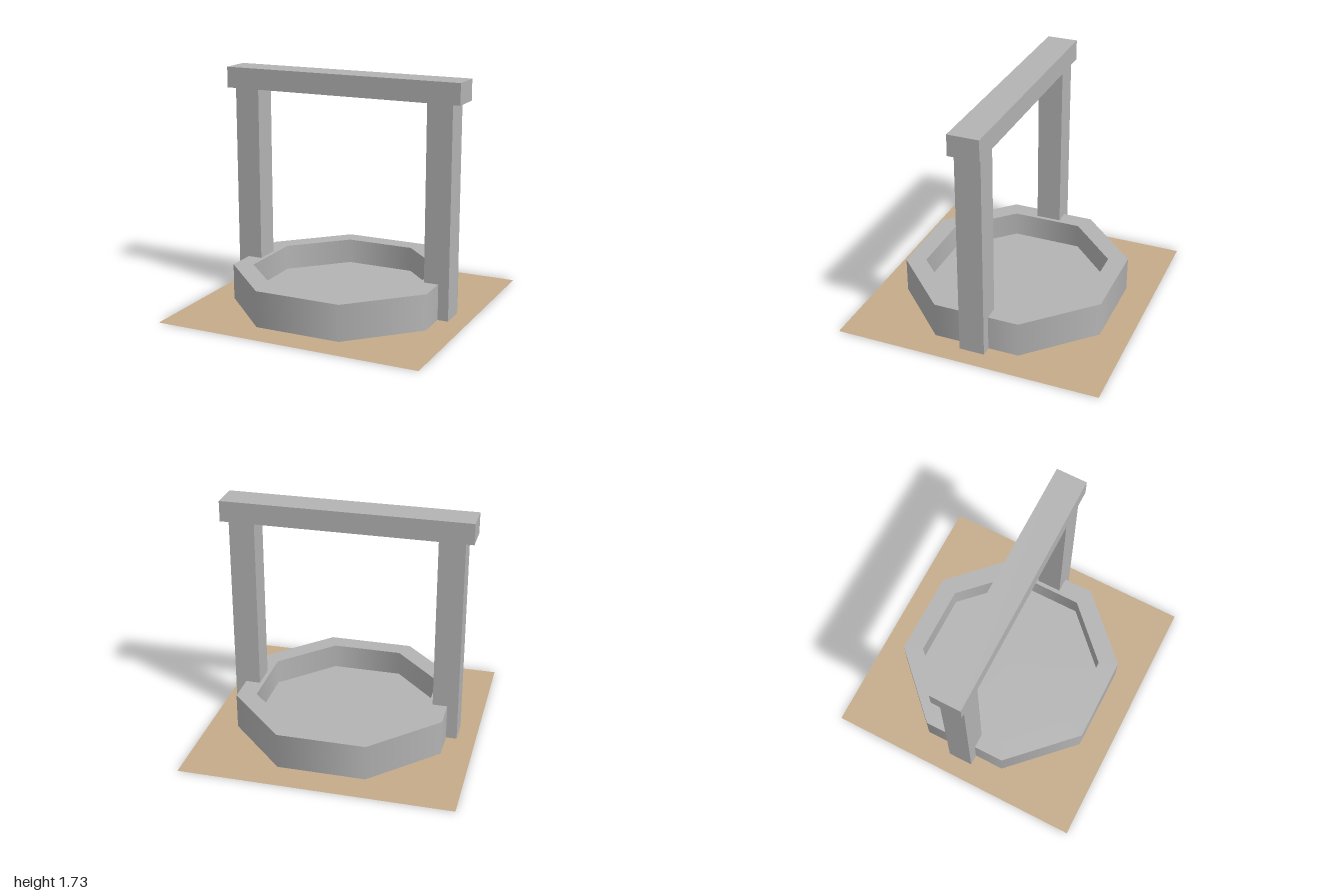
import * as THREE from 'three';

export function createModel() {
  const group = new THREE.Group();
  const stone = new THREE.MeshStandardMaterial({ color: 0xb3b3b3 });
  stone.name = 'grey stone';
  const earth = new THREE.MeshStandardMaterial({ color: 0xc4ab8a, side: THREE.DoubleSide });
  earth.name = 'tan earth';

  function add(name, geometry, material, x = 0, y = 0, z = 0) {
    const mesh = new THREE.Mesh(geometry, material);
    mesh.name = name;
    mesh.position.set(x, y, z);
    group.add(mesh);
    return mesh;
  }

  // Flat square of ground
  add('ground', new THREE.PlaneGeometry(2, 2).rotateX(-Math.PI / 2), earth);

  // Octagonal basin: each band is its own lathe, so the rim edges stay sharp
  const base = 0.002, rimY = 0.27, floorY = 0.08;
  const corner = Math.cos(Math.PI / 8);
  const outer = 0.78 / corner, inner = 0.64 / corner;
  const bands = [
    ['basinOuterWall', outer, base, outer, rimY],
    ['basinRim', outer, rimY, inner, rimY],
    ['basinInnerWall', inner, rimY, inner, floorY],
    ['basinFloor', inner, floorY, 0, floorY],
  ];
  for (const [name, r0, y0, r1, y1] of bands) {
    const profile = [new THREE.Vector2(r0, y0), new THREE.Vector2(r1, y1)];
    add(name, new THREE.LatheGeometry(profile, 8, Math.PI / 8), stone);
  }

  // Two square posts carrying the crossbeam
  const postTop = 1.575, postHeight = postTop - base;
  for (const [name, side] of [['leftPost', 1], ['rightPost', -1]]) {
    add(name, new THREE.BoxGeometry(0.19, postHeight, 0.19), stone, side * 0.765, base + postHeight / 2);
  }
  add('crossbeam', new THREE.BoxGeometry(1.84, 0.155, 0.23), stone, 0, postTop + 0.0775);

  return group;
}
